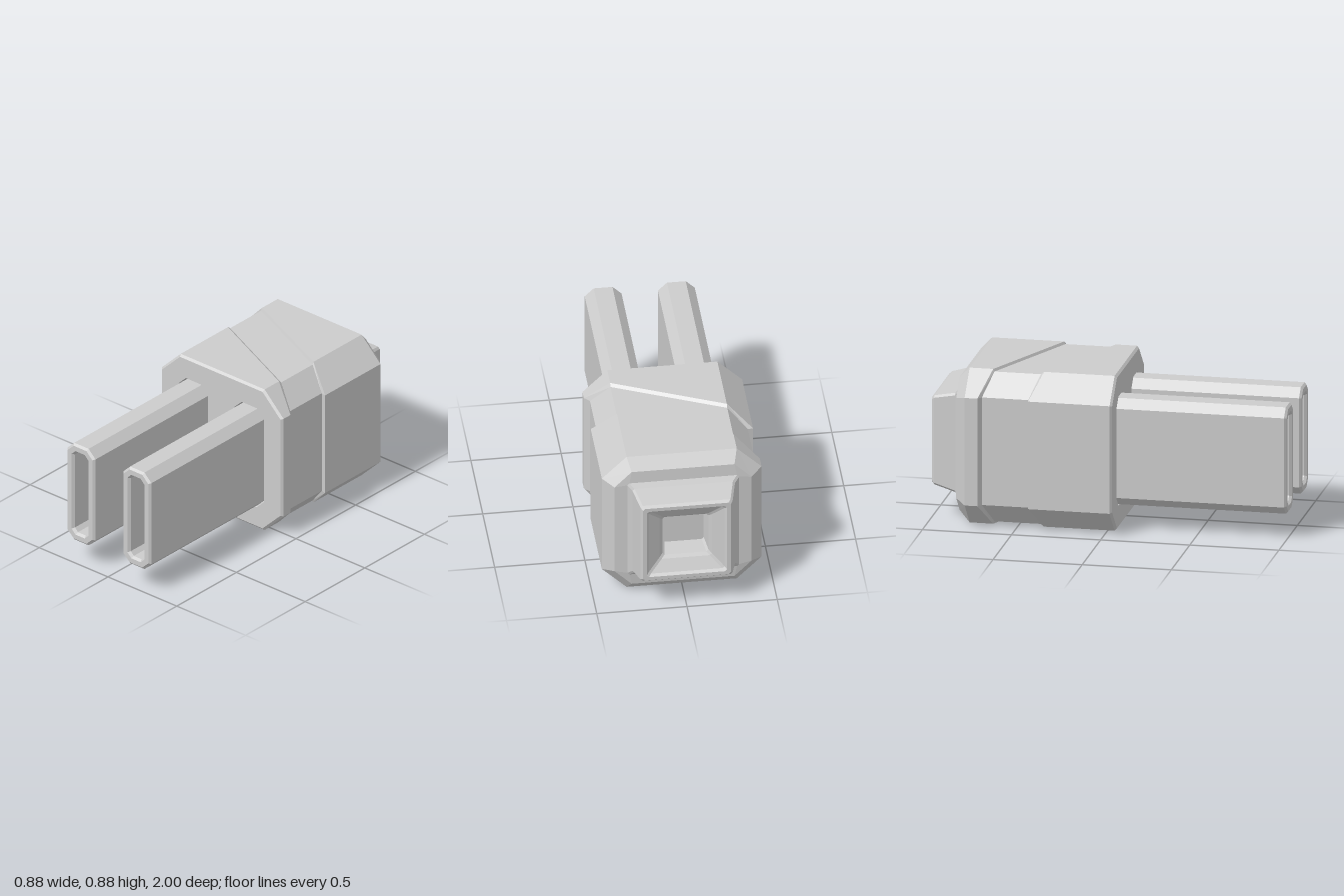
import * as THREE from 'three';

const CY = 0.4425; // height of the long axis

// Octagon outline: half width, half height, and half lengths of the flat sides
const octagon = (hx, hy, fx, fy) => [
  [hx, -fy], [hx, fy], [fx, hy], [-fx, hy], [-hx, fy], [-hx, -fy], [-fx, -hy], [fx, -hy],
];

// Cross-section at depth z, optionally slanted along x
const ring = (hx, hy, fx, fy, z, slope = 0) =>
  octagon(hx, hy, fx, fy).map(([x, y]) => [x, y, z + slope * x]);
const square = (h, z) => ring(h, h, h - 0.012, h - 0.012, z);

const material = () => new THREE.MeshStandardMaterial({ color: 0xcccccc, flatShading: true });

// Skin through cross-sections, with optional caps at either end
function loft(name, rings, capStart = false, capEnd = false) {
  const pos = [];
  const tri = (a, b, c) => pos.push(...a, ...b, ...c);
  for (let i = 0; i < rings.length - 1; i++) {
    for (let j = 0; j < 8; j++) {
      const k = (j + 1) % 8;
      const [a, b, c, d] = [rings[i][j], rings[i][k], rings[i + 1][k], rings[i + 1][j]];
      tri(a, d, c);
      tri(a, c, b);
    }
  }
  const last = rings[rings.length - 1];
  for (let j = 1; j < 7; j++) {
    if (capStart) tri(rings[0][0], rings[0][j], rings[0][j + 1]);
    if (capEnd) tri(last[0], last[j + 1], last[j]);
  }
  const geo = new THREE.BufferGeometry();
  geo.setAttribute('position', new THREE.Float32BufferAttribute(pos, 3));
  geo.computeVertexNormals();
  const mesh = new THREE.Mesh(geo, material());
  mesh.name = name;
  return mesh;
}

export function createModel() {
  const group = new THREE.Group();
  group.name = 'plug';
  const axis = new THREE.Group();
  axis.name = 'plugParts';
  axis.position.y = CY;
  group.add(axis);

  // Housing with a slanted recessed band and a bevelled back
  const full = [0.4425, 0.4425, 0.305, 0.3075];
  const band = [0.413, 0.428, 0.305, 0.3075];
  const front = [0.43, 0.43, 0.3, 0.3025];
  axis.add(loft('housing', [
    ring(...front, 0.05),
    ring(...full, 0.038),
    ring(...full, -0.22, 0.452),
    ring(...band, -0.238, 0.452),
    ring(...band, -0.5, 0.445),
    ring(...full, -0.507, 0.445),
    ring(...full, -0.775),
    ring(0.38, 0.38, 0.285, 0.285, -0.835),
    square(0.31, -0.842),
  ]));

  // Front plate with two openings for the prongs
  const socketRim = [0.108, 0.312, 0.055, 0.26];
  const toPath = (pts, dx = 0) => pts.map(([x, y]) => new THREE.Vector2(x + dx, y));
  const plate = new THREE.Shape(toPath(octagon(...front)));
  for (const x of [-0.203, 0.203]) plate.holes.push(new THREE.Path(toPath(octagon(...socketRim), x)));
  const frontPlate = new THREE.Mesh(new THREE.ShapeGeometry(plate), material());
  frontPlate.name = 'frontPlate';
  frontPlate.position.z = 0.05;
  axis.add(frontPlate);

  // Hollow prongs seated in shallow sockets
  for (const [side, x] of [['left', 0.203], ['right', -0.203]]) {
    const socket = loft(side + 'Socket', [
      ring(0.1, 0.302, 0.05, 0.253, 0.03),
      ring(...socketRim, 0.05),
    ], true);
    const prong = loft(side + 'Prong', [
      ring(0.046, 0.248, 0.026, 0.228, 0.5),
      ring(0.05, 0.252, 0.028, 0.23, 0.985),
      ring(0.062, 0.263, 0.034, 0.235, 1),
      ring(0.09, 0.292, 0.046, 0.25, 1),
      ring(0.102, 0.304, 0.052, 0.255, 0.988),
      ring(0.102, 0.304, 0.052, 0.255, 0.03),
    ], true);
    socket.position.x = prong.position.x = x;
    axis.add(socket, prong);
  }

  // Square cable collar with a funnel-shaped opening
  axis.add(loft('cableCollar', [
    square(0.31, -0.842),
    square(0.284, -0.862),
    square(0.255, -0.985),
    square(0.243, -1),
    square(0.222, -1),
    square(0.21, -0.985),
    square(0.145, -0.945),
    square(0.128, -0.93),
    square(0.115, -0.83),
  ], false, true));

  return group;
}
